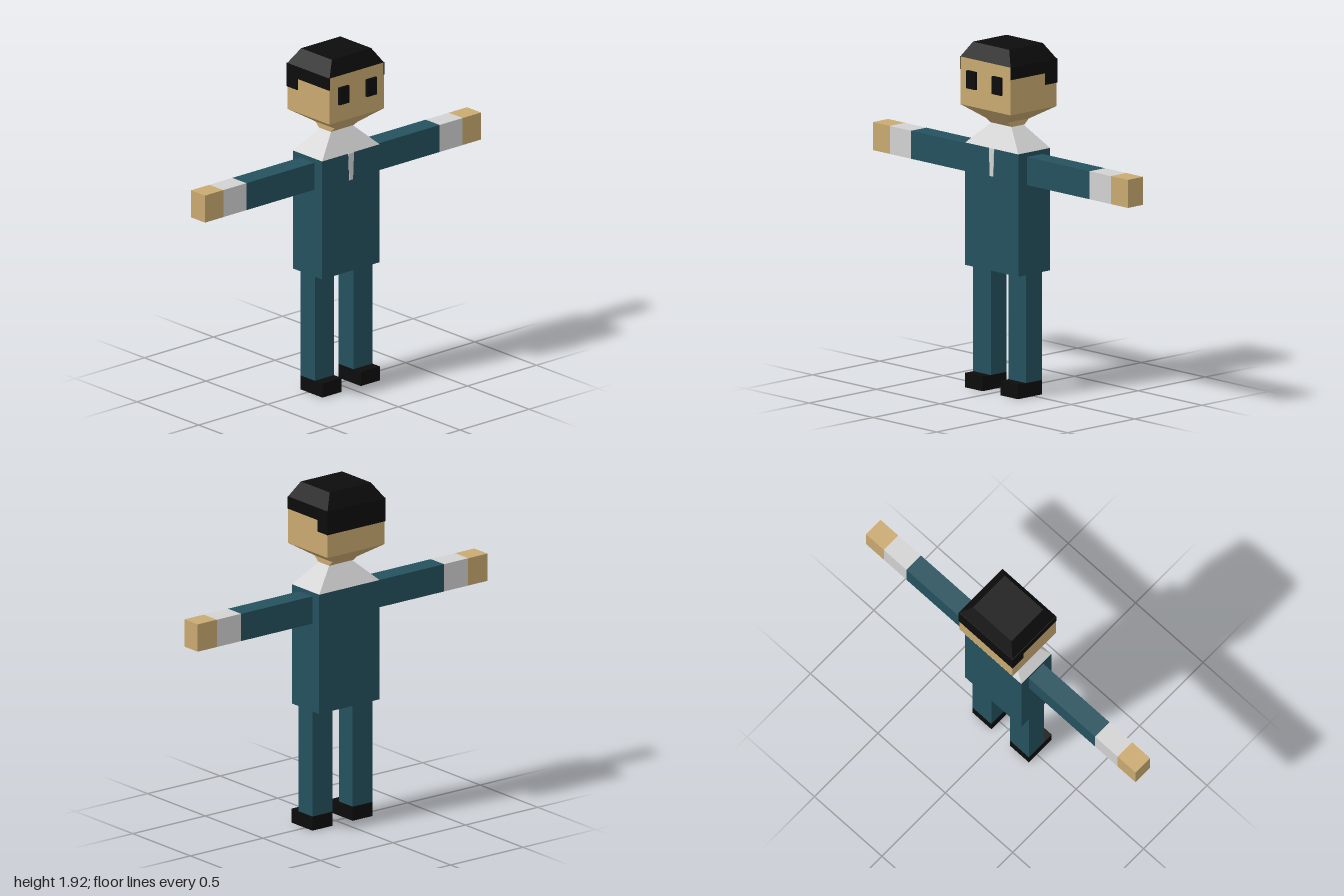
import * as THREE from 'three';

const mat = (name, color) => {
  const m = new THREE.MeshStandardMaterial({ color, flatShading: true });
  m.name = name;
  return m;
};

// Box between two heights with separate bottom and top rectangles [x0, x1, z0, z1]
function taperedBox(y0, y1, bottom, top = bottom) {
  const g = new THREE.BoxGeometry(1, 1, 1);
  const p = g.attributes.position;
  for (let i = 0; i < p.count; i++) {
    const r = p.getY(i) > 0 ? top : bottom;
    p.setXYZ(i, p.getX(i) > 0 ? r[1] : r[0], p.getY(i) > 0 ? y1 : y0, p.getZ(i) > 0 ? r[3] : r[2]);
  }
  g.computeVertexNormals();
  return g;
}

export function createModel() {
  const model = new THREE.Group();
  model.name = 'blockyMan';
  const suit = mat('suit teal', 0x24515e);
  const skin = mat('skin', 0xc9a970);
  const white = mat('shirt white', 0xd2d2d2);
  const black = mat('black', 0x0c0c0c);

  const add = (name, material, ...args) => {
    const mesh = new THREE.Mesh(taperedBox(...args), material);
    mesh.name = name;
    model.add(mesh);
  };

  // Body, facing +x
  const chest = [-0.122, 0.115, -0.208, 0.208];
  const collarTop = [-0.046, 0.042, -0.078, 0.078];
  add('torso', suit, 0.677, 1.354, chest);
  add('collar', white, 1.354, 1.475, chest, collarTop);
  add('shirtFront', white, 1.2, 1.354, [0.112, 0.118, -0.013, 0.013], [0.112, 0.118, -0.02, 0.02]);

  // Neck and head
  const face = [-0.18, 0.162, -0.197, 0.197];
  const jaw = [-0.082, 0.076, -0.083, 0.083];
  add('neck', skin, 1.475, 1.503, [-0.05, 0.044, -0.083, 0.083], jaw);
  add('jaw', skin, 1.503, 1.575, jaw, face);
  add('head', skin, 1.575, 1.839, face);

  // Hair: sloped crown, back plate, and a side band with a lower patch behind
  add('hairCrown', black, 1.839, 1.923, face, [-0.13, 0.12, -0.142, 0.142]);
  add('hairBack', black, 1.705, 1.839, [-0.183, -0.178, -0.2, 0.2]);

  for (const s of [1, -1]) {
    const span = (a, b) => (s > 0 ? [a, b] : [-b, -a]);
    const side = s > 0 ? 'right' : 'left';
    add(side + 'HairBand', black, 1.77, 1.839, [-0.182, 0.162, ...span(0.195, 0.2)]);
    add(side + 'HairPatch', black, 1.705, 1.77, [-0.182, -0.095, ...span(0.195, 0.2)]);
    add(side + 'Eye', black, 1.675, 1.773, [0.16, 0.177, ...span(0.065, 0.135)]);

    // Outstretched arm
    add(side + 'Sleeve', suit, 1.175, 1.33, [-0.063, 0.051, ...span(0.2, 0.7)]);
    add(side + 'Cuff', white, 1.175, 1.33, [-0.063, 0.051, ...span(0.7, 0.867)]);
    add(side + 'Hand', skin, 1.175, 1.33, [-0.063, 0.051, ...span(0.867, 1)]);

    // Leg and shoe
    add(side + 'Leg', suit, 0.08, 0.677, [-0.063, 0.056, ...span(0.07, 0.208)]);
    add(side + 'Shoe', black, 0, 0.08, [-0.063, 0.117, ...span(0.07, 0.208)]);
  }
  return model;
}
